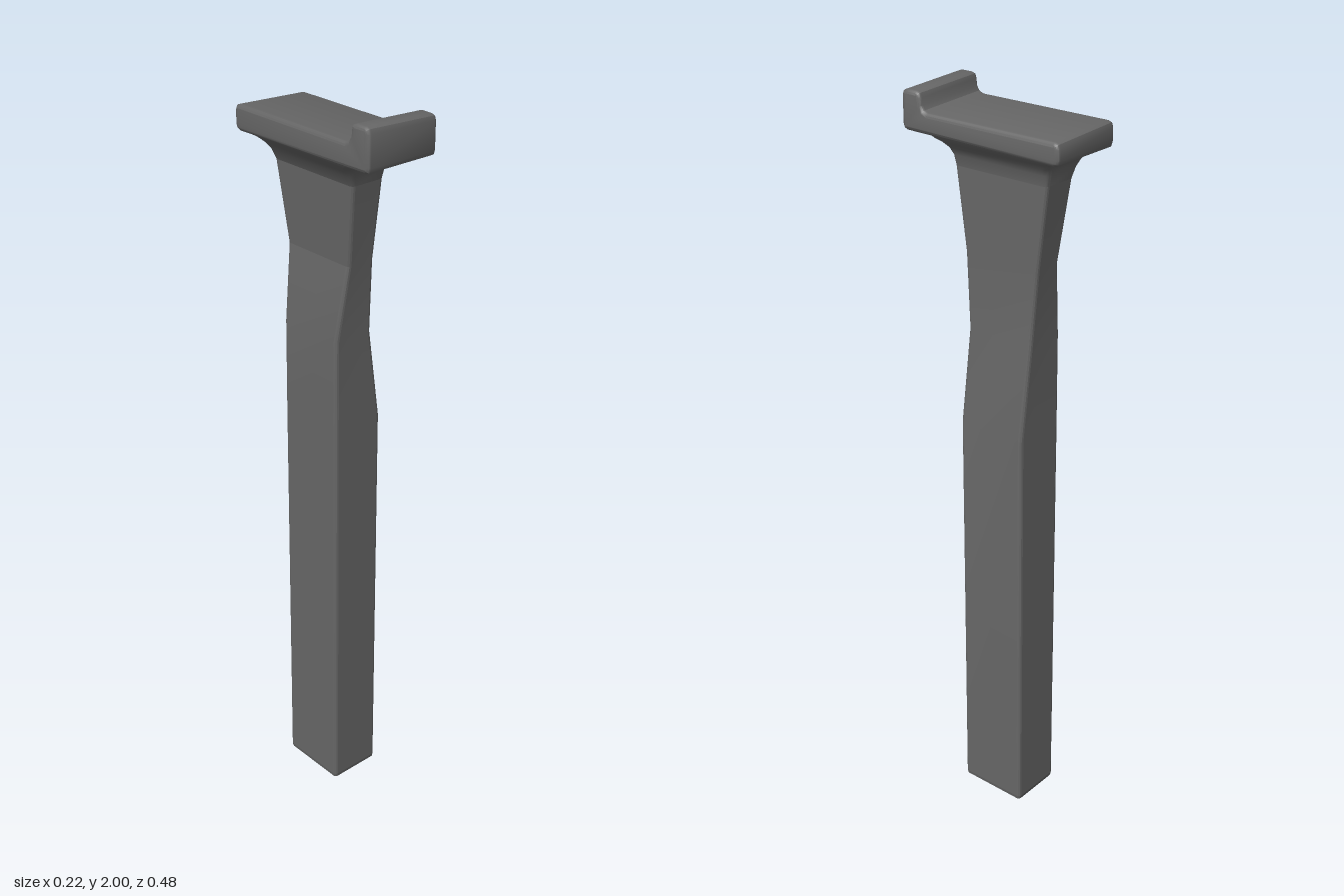
import * as THREE from 'three';
import { toCreasedNormals } from 'three/addons/utils/BufferGeometryUtils.js';

// Corner-rounded rectangle as a loop of [x, z] points
function ring(x0, x1, z0, z1, r) {
  const pts = [];
  const corners = [[x1 - r, z1 - r], [x0 + r, z1 - r], [x0 + r, z0 + r], [x1 - r, z0 + r]];
  corners.forEach(([cx, cz], c) => {
    for (let i = 0; i <= 3; i++) {
      const a = (c + i / 3) * Math.PI / 2;
      pts.push([cx + r * Math.cos(a), cz + r * Math.sin(a)]);
    }
  });
  return pts;
}

// Loft through sections [y, x0, x1, z0, z1, cornerRadius], listed bottom to top
function loft(sections, crease, closeBottom) {
  const pos = [], idx = [], n = 16;
  for (const [y, ...s] of sections) for (const [x, z] of ring(...s)) pos.push(x, y, z);
  for (let k = 0; k < sections.length - 1; k++) {
    for (let i = 0; i < n; i++) {
      const a = k * n + i, b = k * n + (i + 1) % n;
      idx.push(a, a + n, b, b, a + n, b + n);
    }
  }
  if (closeBottom) for (let i = 1; i < n - 1; i++) idx.push(0, i, i + 1);
  const g = new THREE.BufferGeometry();
  g.setAttribute('position', new THREE.Float32BufferAttribute(pos, 3));
  g.setIndex(idx);
  return toCreasedNormals(g, crease);
}

export function createModel() {
  const group = new THREE.Group();
  const grey = new THREE.MeshStandardMaterial({ color: 0x666666 });
  grey.name = 'dark grey';
  const add = (name, geometry) => {
    const mesh = new THREE.Mesh(geometry, grey);
    mesh.name = name;
    group.add(mesh);
  };

  // Straight grip that narrows into an offset neck
  add('stem', loft([
    [0, -0.045, 0.092, -0.122, 0.062, 0.006],
    [0.004, -0.051, 0.098, -0.128, 0.068, 0.008],
    [0.014, -0.053, 0.1, -0.13, 0.07, 0.01],
    [1.15, -0.053, 0.1, -0.13, 0.07, 0.01],
    [1.4, -0.052, 0.065, -0.13, 0.07, 0.01],
    [1.6, -0.024, 0.06, -0.145, 0.083, 0.01],
    [1.815, -0.04, 0.06, -0.172, 0.113, 0.01],
  ], 0.15, true));

  // Filleted flare under the head
  add('flare', loft([
    [1.815, -0.04, 0.06, -0.172, 0.113, 0.01],
    [1.842, -0.053, 0.064, -0.177, 0.12, 0.014],
    [1.86, -0.069, 0.073, -0.183, 0.129, 0.018],
    [1.873, -0.083, 0.084, -0.193, 0.143, 0.02],
    [1.882, -0.093, 0.093, -0.207, 0.16, 0.02],
    [1.892, -0.098, 0.098, -0.22, 0.175, 0.02],
  ], 0.6, false));

  // Flat head with a raised front lip, drawn from the side as [z, y]
  const profile = [
    [-0.225, 1.884], [0.225, 1.89], [0.236, 1.894], [0.24, 1.905],
    [0.24, 1.985], [0.236, 1.996], [0.225, 2], [0.195, 2], [0.184, 1.996], [0.18, 1.985],
    [0.178, 1.967], [0.171, 1.956], [0.158, 1.951],
    [-0.225, 1.951], [-0.236, 1.947], [-0.24, 1.936], [-0.24, 1.9], [-0.236, 1.889],
  ];
  const bevel = 0.01, width = 0.216;
  const head = new THREE.ExtrudeGeometry(
    new THREE.Shape(profile.map(([z, y]) => new THREE.Vector2(z, y))),
    { depth: width - 2 * bevel, bevelThickness: bevel, bevelSize: bevel, bevelOffset: -bevel, bevelSegments: 3 });
  head.translate(0, 0, -(width / 2 - bevel)).rotateY(-Math.PI / 2);
  // The top slopes gently down toward +x
  const p = head.attributes.position;
  for (let i = 0; i < p.count; i++) {
    const y = p.getY(i);
    if (y > 1.92) p.setY(i, y - 0.045 * (p.getX(i) + width / 2));
  }
  add('head', toCreasedNormals(head, 0.6));

  return group;
}
